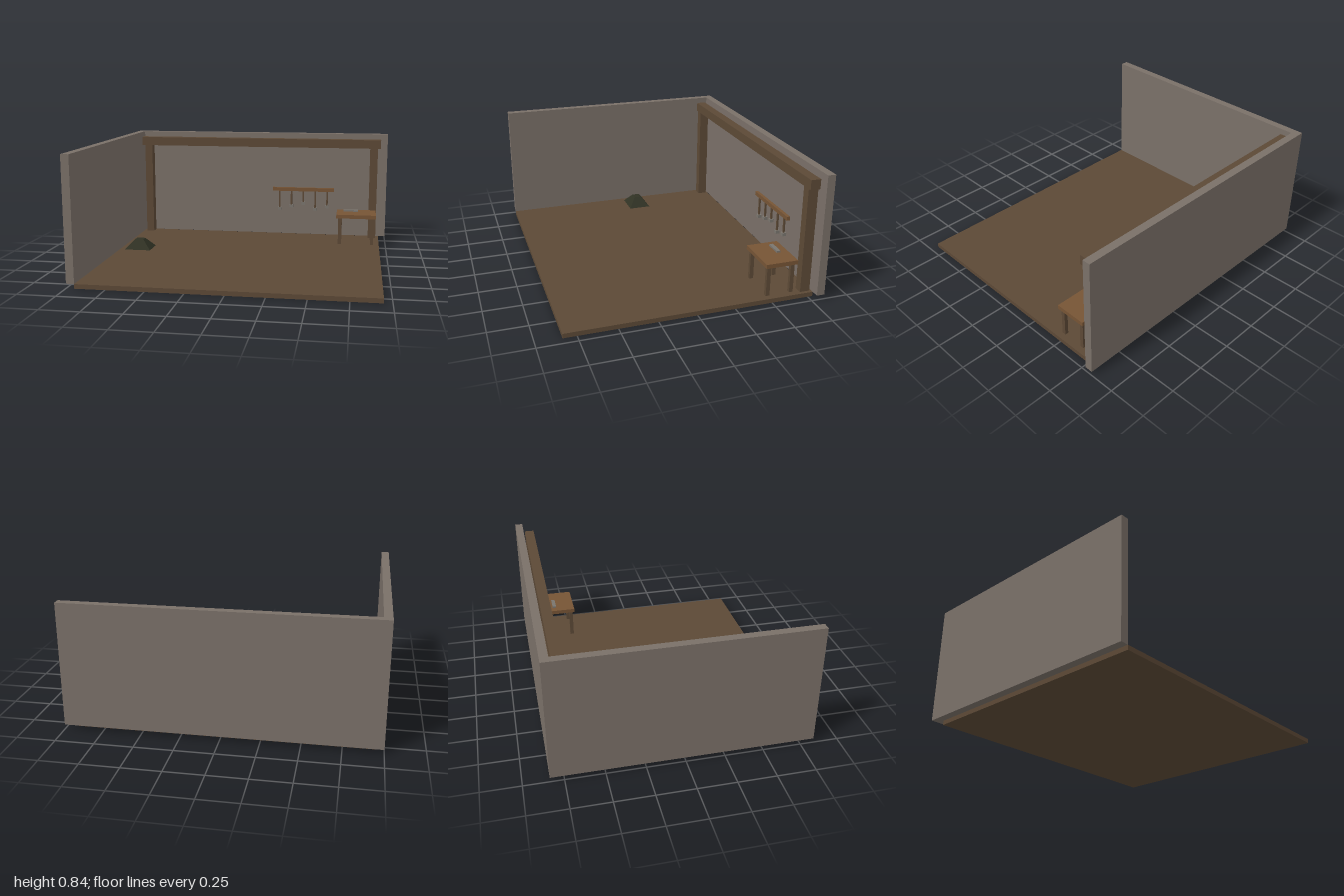
import * as THREE from 'three';

const material = (name, color) => {
  const m = new THREE.MeshStandardMaterial({ color });
  m.name = name;
  return m;
};

export function createModel() {
  const stone = material('stone', 0x7a7068);
  const darkWood = material('dark wood', 0x5c4936);
  const warmWood = material('warm wood', 0x765435);
  const metal = material('metal', 0x7a756e);
  const coal = material('coal', 0x303224);

  const model = new THREE.Group();
  model.name = 'workshopRoom';

  const group = (name) => {
    const g = new THREE.Group();
    g.name = name;
    model.add(g);
    return g;
  };

  // Box given by its low and high bounds on each axis
  const box = (parent, name, mat, [x0, x1], [y0, y1], [z0, z1]) => {
    const mesh = new THREE.Mesh(new THREE.BoxGeometry(x1 - x0, y1 - y0, z1 - z0), mat);
    mesh.position.set((x0 + x1) / 2, (y0 + y1) / 2, (z0 + z1) / 2);
    mesh.name = name;
    parent.add(mesh);
  };

  // Floor and two walls
  box(model, 'floor', darkWood, [-0.947, 0.947], [0, 0.03], [-0.783, 0.837]);
  box(model, 'backWall', stone, [-1, 1], [0.03, 0.84], [-0.837, -0.784]);
  box(model, 'sideWall', stone, [-1, -0.947], [0.03, 0.84], [-0.784, 0.837]);

  // Timber frame
  const frame = group('timberFrame');
  const frameZ = [-0.771, -0.705];
  box(frame, 'beam', darkWood, [-0.947, 0.947], [0.735, 0.8], frameZ);
  for (const x of [-0.896, 0.896]) {
    box(frame, 'post', darkWood, [x - 0.029, x + 0.029], [0.03, 0.735], frameZ);
  }

  // Tool rack with hanging tools of varied length
  const rack = group('toolRack');
  box(rack, 'rackBar', warmWood, [0.107, 0.593], [0.38, 0.408], [-0.779, -0.757]);
  [0.226, 0.249, 0.271, 0.226, 0.249].forEach((bottom, i) => {
    const x = 0.162 + i * 0.0945;
    box(rack, 'toolHandle', darkWood, [x - 0.006, x + 0.006], [bottom + 0.022, 0.38], [-0.774, -0.762]);
    box(rack, 'toolHead', metal, [x - 0.014, x + 0.014], [bottom, bottom + 0.022], [-0.782, -0.754]);
  });

  // Work table
  const table = group('workTable');
  box(table, 'tableTop', warmWood, [0.624, 0.92], [0.23, 0.258], [-0.677, -0.461]);
  for (const x of [0.651, 0.893]) {
    for (const z of [-0.65, -0.487]) {
      box(table, 'tableLeg', darkWood, [x - 0.012, x + 0.012], [0.03, 0.23], [z - 0.013, z + 0.013]);
    }
  }
  box(table, 'metalBar', metal, [0.676, 0.784], [0.258, 0.27], [-0.622, -0.596]);

  // Coal heap: a box tapered to a third at the top
  const heap = new THREE.CylinderGeometry(Math.SQRT1_2 * 0.33, Math.SQRT1_2, 1, 4, 1).toNonIndexed();
  heap.rotateY(Math.PI / 4);
  heap.scale(0.19, 0.068, 0.16);
  heap.computeVertexNormals();
  const heapMesh = new THREE.Mesh(heap, coal);
  heapMesh.name = 'coalHeap';
  heapMesh.position.set(-0.813, 0.064, -0.137);
  model.add(heapMesh);

  return model;
}
